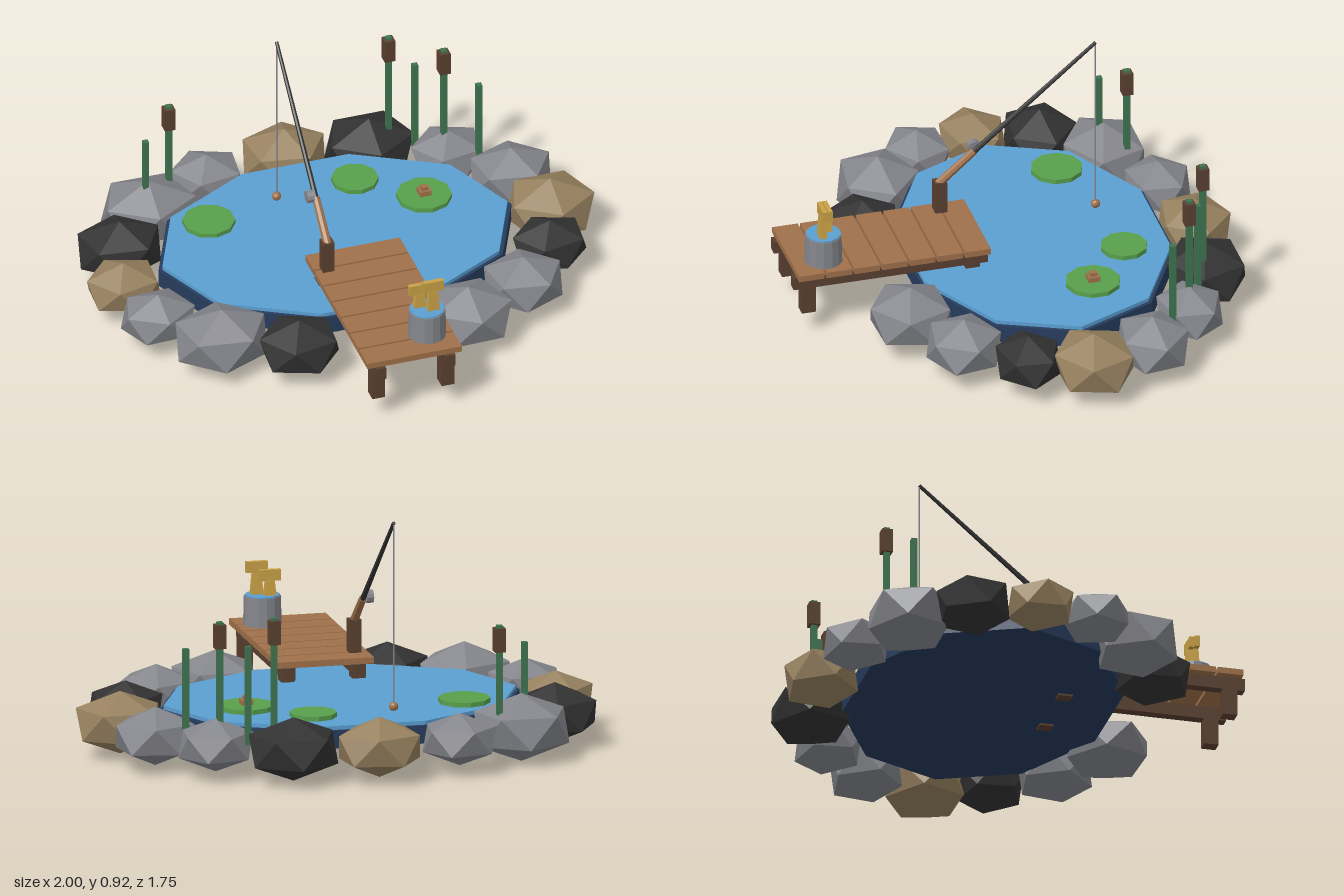
import * as THREE from 'three';

const mat = (name, color) => {
  const m = new THREE.MeshStandardMaterial({ color, flatShading: true });
  m.name = name;
  return m;
};

export function createModel() {
  const root = new THREE.Group();
  root.name = 'fishingPond';

  const grey = mat('stoneGrey', 0x85868c);
  const tan = mat('stoneTan', 0x97815f);
  const black = mat('charcoal', 0x323232);
  const water = mat('water', 0x5a9fd2);
  const deep = mat('deepWater', 0x263c5c);
  const wood = mat('wood', 0xa0714a);
  const dark = mat('darkWood', 0x5a4030);
  const leaf = mat('lilyGreen', 0x58a04c);
  const reed = mat('reedGreen', 0x3f7450);
  const gold = mat('fishGold', 0xc9a145);

  const add = (name, geo, material, x, y, z, parent = root) => {
    const m = new THREE.Mesh(geo, material);
    m.name = name;
    m.position.set(x, y, z);
    parent.add(m);
    return m;
  };
  const box = (w, h, d) => new THREE.BoxGeometry(w, h, d);
  const cyl = (rt, rb, h, n) => new THREE.CylinderGeometry(rt, rb, h, n);
  // Straight rod between two points
  const rod = (name, a, b, ra, rb, n, material) => {
    const A = new THREE.Vector3(...a), B = new THREE.Vector3(...b);
    const d = B.clone().sub(A);
    const m = add(name, cyl(rb, ra, d.length(), n), material, 0, 0, 0);
    m.position.copy(A).add(B).multiplyScalar(0.5);
    m.quaternion.setFromUnitVectors(new THREE.Vector3(0, 1, 0), d.normalize());
    return m;
  };

  // Pond: ten-sided basin with a lighter water sheet on top
  const disc = (r, rz, h) => cyl(1, 1, h, 10).rotateY(Math.PI / 10).scale(r, 1, rz);
  const pondX = -0.02, pondZ = -0.11;
  add('pondBasin', disc(0.7, 0.52, 0.07), deep, pondX, 0.135, pondZ);
  add('waterSurface', disc(0.685, 0.507, 0.015), water, pondX, 0.1775, pondZ);

  // Ring of squashed rocks: x, z, half width, half depth, stone
  const rocks = [
    [-0.615, -0.556, 0.18, 0.155, grey], [-0.34, -0.69, 0.139, 0.122, grey],
    [-0.016, -0.74, 0.16, 0.136, tan], [0.307, -0.695, 0.168, 0.152, black],
    [0.575, -0.557, 0.141, 0.123, grey], [0.76, -0.36, 0.155, 0.134, grey],
    [0.834, -0.11, 0.166, 0.152, tan], [0.755, 0.125, 0.141, 0.121, black],
    [0.583, 0.33, 0.15, 0.139, grey], [0.32, 0.465, 0.163, 0.155, grey],
    [-0.35, 0.465, 0.152, 0.139, black], [-0.615, 0.33, 0.176, 0.152, grey],
    [-0.8, 0.125, 0.139, 0.123, grey], [-0.86, -0.11, 0.14, 0.123, tan],
    [-0.795, -0.355, 0.16, 0.136, black],
  ];
  const ring = new THREE.Group();
  ring.name = 'rockRing';
  root.add(ring);
  const tilt = Math.atan(2 / (1 + Math.sqrt(5))); // brings a corner to the top
  rocks.forEach(([x, z, rx, rz, material], i) => {
    const geo = new THREE.IcosahedronGeometry(1, 0).rotateZ(tilt).rotateY(i * 2.1 + 0.3)
      .scale(rx / 0.88, rx * 0.73, rz / 0.88);
    add('rock', geo, material, x, 0.131, z, ring);
  });

  // Dock: planks on two beams and four legs
  const dock = new THREE.Group();
  dock.name = 'dock';
  root.add(dock);
  for (let i = 0; i < 7; i++) {
    add('plank', box(0.375, 0.024, 0.1), wood, -0.021, 0.26, 0.156 + i * 0.1085, dock);
  }
  for (const x of [-0.158, 0.117]) {
    add('beam', box(0.04, 0.05, 0.76), dark, x, 0.223, 0.49, dock);
    for (const z of [0.17, 0.812]) add('leg', box(0.05, 0.155, 0.055), dark, x, 0.17, z, dock);
  }

  // Fishing rod in its holder
  const rx = -0.158;
  add('rodHolder', box(0.046, 0.13, 0.046), dark, rx, 0.335, 0.215);
  rod('rodHandle', [rx, 0.385, 0.225], [rx, 0.51, 0.08], 0.017, 0.015, 8, wood);
  rod('rodShaft', [rx, 0.5, 0.09], [rx, 0.91, -0.395], 0.011, 0.007, 8, black);
  add('reel', cyl(0.025, 0.025, 0.026, 10).rotateZ(Math.PI / 2), grey, -0.182, 0.517, 0.076);
  rod('fishingLine', [rx, 0.905, -0.395], [rx, 0.2, -0.395], 0.003, 0.003, 5, grey);
  add('float', new THREE.IcosahedronGeometry(0.018, 1), wood, rx, 0.2, -0.395);

  // Bucket of fish, tails up
  add('bucket', cyl(0.07, 0.073, 0.113, 14), grey, 0.068, 0.328, 0.735);
  add('bucketWater', cyl(0.066, 0.066, 0.006, 14), water, 0.068, 0.386, 0.735);
  for (const [x, z, top] of [[0.088, 0.745, 0.515], [0.045, 0.712, 0.488]]) {
    const bodyTop = top - 0.04;
    const body = cyl(0.024, 0.036, bodyTop - 0.37, 4).rotateY(Math.PI / 4).scale(1, 1, 0.6);
    add('fishBody', body, gold, x, (bodyTop + 0.37) / 2, z);
    add('fishTail', box(0.084, 0.043, 0.018), gold, x, top - 0.0215, z);
  }

  // Lily pads and a flower
  for (const [x, z, r] of [[-0.45, -0.325, 0.1], [0.16, -0.417, 0.09], [0.375, -0.235, 0.106]]) {
    add('lilyPad', cyl(r, r, 0.018, 10), leaf, x, 0.194, z);
  }
  add('flower', box(0.045, 0.02, 0.045), wood, 0.375, 0.213, -0.235);
  add('flowerBud', box(0.024, 0.014, 0.024), wood, 0.375, 0.229, -0.235);

  // Reeds: x, z, top, with cattail head
  const reeds = [
    [-0.513, -0.618, 0.545, true], [-0.63, -0.542, 0.457, false],
    [0.375, -0.665, 0.636, true], [0.56, -0.56, 0.607, true],
    [0.465, -0.62, 0.52, false], [0.668, -0.465, 0.487, false],
  ];
  for (const [x, z, top, head] of reeds) {
    add('reedStem', box(0.022, top - 0.14, 0.022), reed, x, (top + 0.14) / 2, z);
    if (head) add('cattail', box(0.042, 0.092, 0.042), dark, x, top - 0.056, z);
  }
  return root;
}
